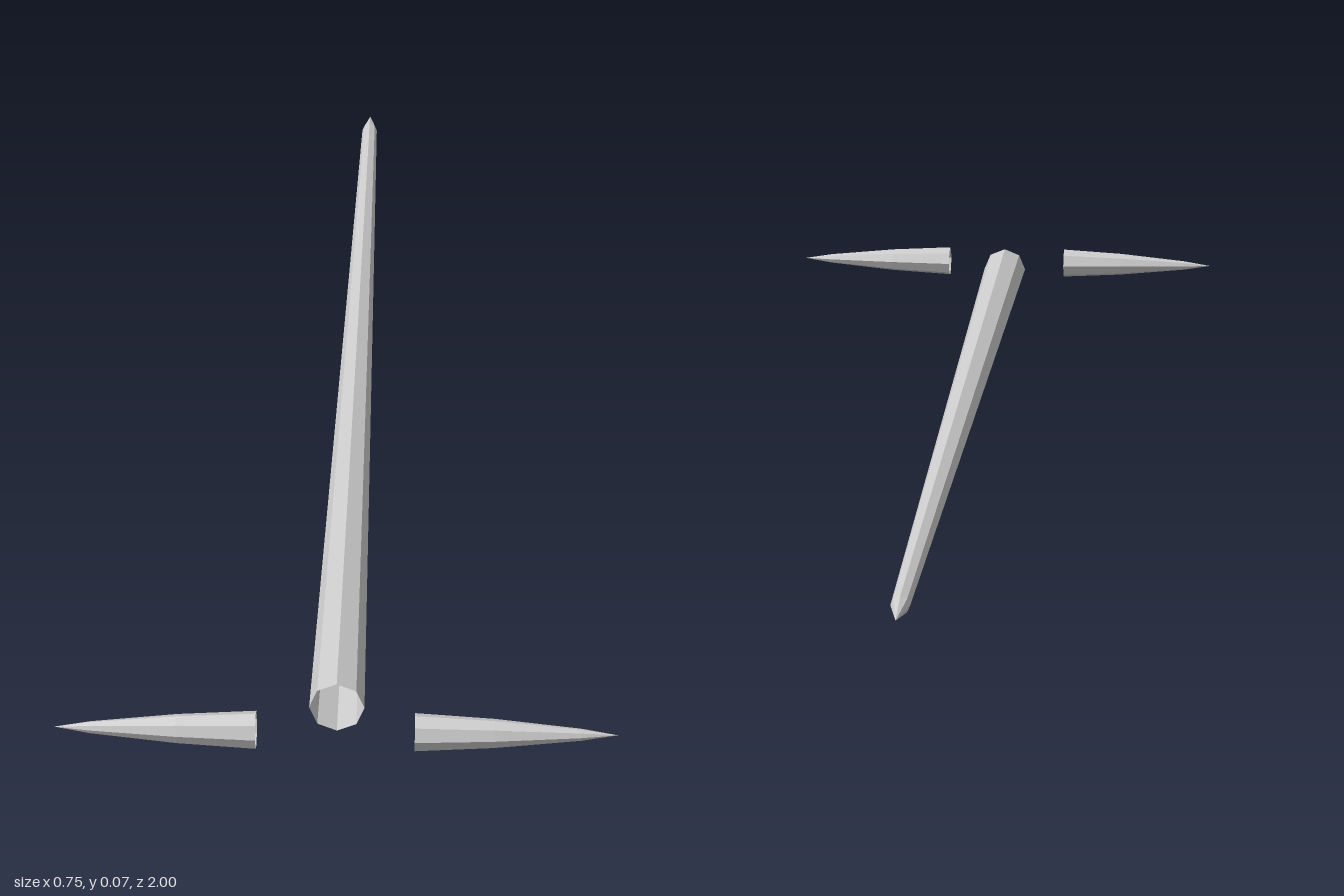
import * as THREE from 'three';

const SIDES = 8;
const AXIS_Y = 0.037;

// Open-ended, faceted spike along +y from [radius, distance] pairs
function spike(name, profile, material) {
  const points = profile.map(([r, d]) => new THREE.Vector2(r, d));
  const mesh = new THREE.Mesh(new THREE.LatheGeometry(points, SIDES), material);
  mesh.name = name;
  return mesh;
}

export function createModel() {
  const group = new THREE.Group();
  group.name = 'sword';
  const material = new THREE.MeshStandardMaterial({
    color: 0xcccccc, flatShading: true, side: THREE.DoubleSide,
  });

  // Long tapering blade pointing to the back, open at the front
  const blade = spike('blade', [[0.037, 0], [0.013, 1.86], [0, 1.92]], material);
  blade.rotation.x = -Math.PI / 2;
  blade.position.set(0, AXIS_Y, 0.92);
  group.add(blade);

  // Two crossguard spikes pointing outwards, open at their inner ends
  const guardProfile = [[0.0255, 0], [0.0195, 0.105], [0.008, 0.22], [0, 0.268]];
  for (const side of [1, -1]) {
    const guard = spike(side > 0 ? 'leftGuard' : 'rightGuard', guardProfile, material);
    guard.rotation.z = -side * Math.PI / 2;
    guard.position.set(side * 0.105, AXIS_Y, 0.975);
    group.add(guard);
  }
  return group;
}
